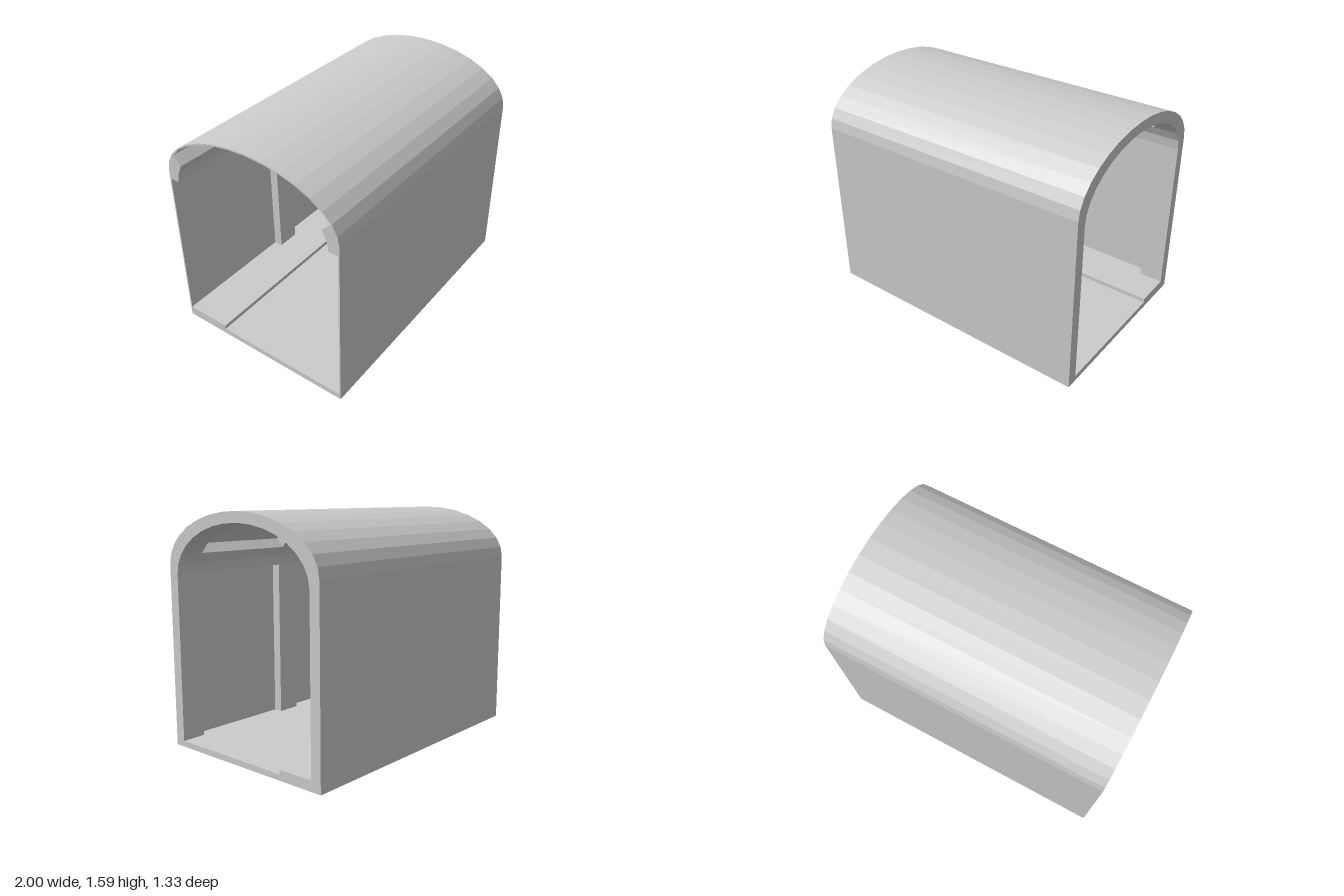
import * as THREE from 'three';

const material = new THREE.MeshStandardMaterial({ color: 0xcccccc, flatShading: true });
const SEGMENTS = 16;

// Half-ellipse vault points (z, y) between two segment steps
function vault(halfWidth, springY, rise, from = 0, to = SEGMENTS) {
  const points = [];
  for (let i = from; i <= to; i++) {
    const a = (i / SEGMENTS) * Math.PI;
    points.push([halfWidth * Math.cos(a), springY + rise * Math.sin(a)]);
  }
  return points;
}

const outer = (from, to) => vault(0.665, 1.23, 0.36, from, to);
const lining = (from, to) => vault(0.655, 1.23, 0.35, from, to);
const inner = (from, to) => vault(0.59, 1.17, 0.35, from, to);

// Extrude a (z, y) cross-section along x from x0 to x1
function extrudeX(name, points, x0, x1) {
  const shape = new THREE.Shape(points.map(([z, y]) => new THREE.Vector2(-z, y)));
  const geometry = new THREE.ExtrudeGeometry(shape, { depth: x1 - x0, bevelEnabled: false });
  geometry.rotateY(Math.PI / 2);
  geometry.translate(x0, 0, 0);
  const mesh = new THREE.Mesh(geometry, material);
  mesh.name = name;
  return mesh;
}

// Closed section of an arch standing on two straight legs
function archSection(outside, halfOut, inside, halfIn, base) {
  return [
    [halfOut, base], ...outside, [-halfOut, base],
    [-halfIn, base], ...inside.reverse(), [halfIn, base],
  ];
}

export function createModel() {
  const group = new THREE.Group();
  group.name = 'vaultedCabin';

  // Thin outer skin, open at both ends
  group.add(extrudeX('shell', archSection(outer(), 0.665, lining(), 0.655, 0), -1, 1));

  // Floor with a low raised walkway along the back
  const box = (z0, z1, y0, y1) => [[z0, y0], [z1, y0], [z1, y1], [z0, y1]];
  group.add(extrudeX('floor', box(-0.655, 0.655, 0, 0.04), -1, 1));
  group.add(extrudeX('walkway', box(-0.655, -0.33, 0.04, 0.07), -1, 1));

  // Deep ribs: one at the right end, one in the middle
  for (const [name, x0, x1] of [['endRib', 0.83, 1], ['middleRib', -0.085, 0.085]]) {
    group.add(extrudeX(name, archSection(lining(), 0.655, inner(), 0.59, 0.04), x0, x1));
  }

  // Cornices along the foot of the vault on both sides
  for (const side of [1, -1]) {
    const section = [[0.655, 1.17], ...lining(0, 2), ...inner(0, 2).reverse()];
    const name = side > 0 ? 'frontCornice' : 'backCornice';
    group.add(extrudeX(name, section.map(([z, y]) => [z * side, y]), -1, 1));
  }

  return group;
}
